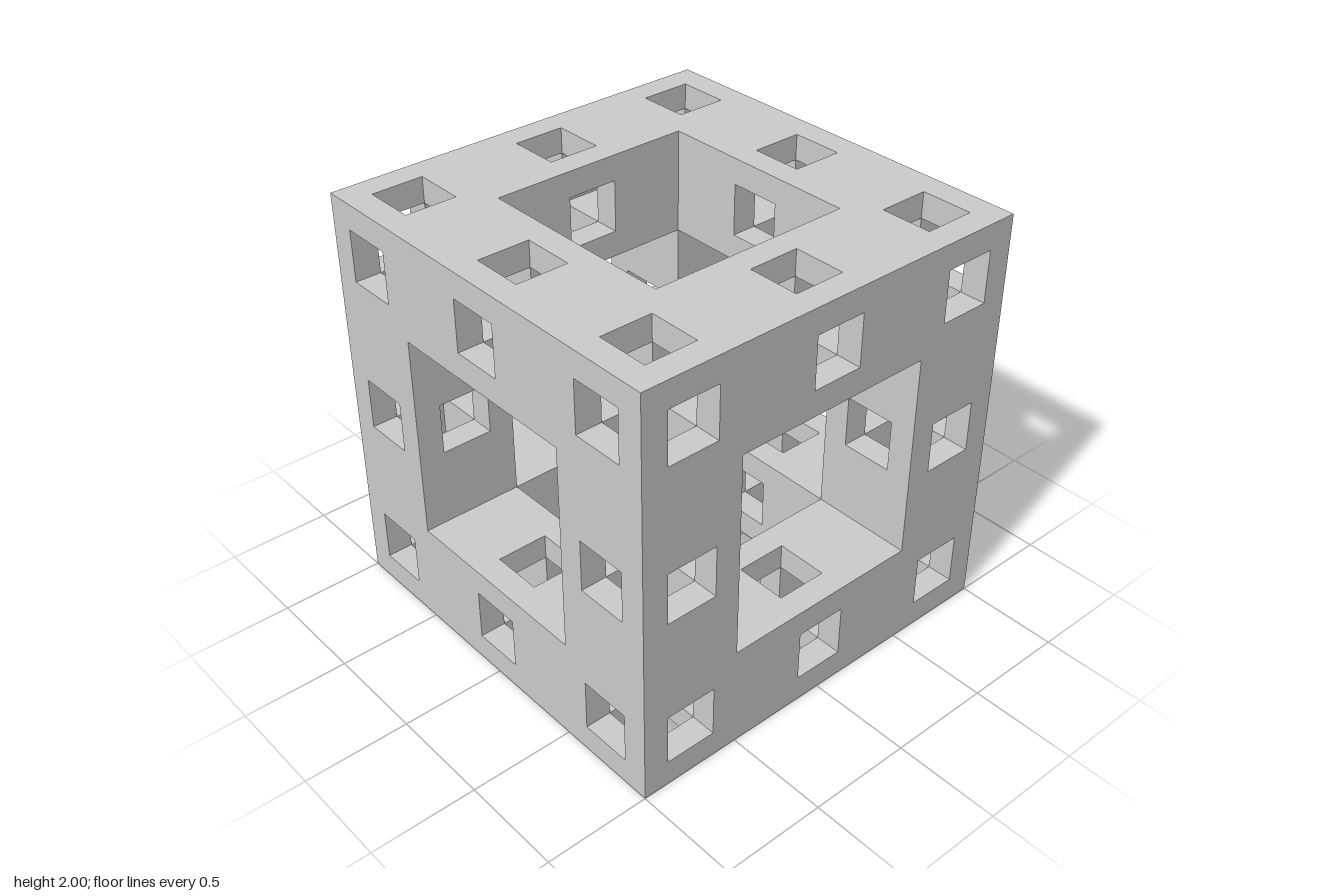
import * as THREE from 'three';
import { mergeGeometries } from 'three/addons/utils/BufferGeometryUtils.js';

const OUTER = 1;      // half size of the cube
const INNER = 0.5;    // half size of the large openings
const MID = 0.75;     // centre line of the frame bars
const HOLE = 0.25;    // width of the small square tunnels

// Small tunnels seen along one axis: four through the corners, four across the bars
const corners = [[-MID, -MID], [MID, -MID], [MID, MID], [-MID, MID]];
const middles = [[0, -MID], [MID, 0], [0, MID], [-MID, 0]];

function rect(path, x, y, w, h) {
  path.moveTo(x - w / 2, y - h / 2);
  path.lineTo(x + w / 2, y - h / 2);
  path.lineTo(x + w / 2, y + h / 2);
  path.lineTo(x - w / 2, y + h / 2);
  path.closePath();
  return path;
}

// Flat panel facing +z with square holes given as [x, y, size]
function panel(x, y, w, h, holes) {
  const shape = rect(new THREE.Shape(), x, y, w, h);
  for (const [hx, hy, s] of holes) shape.holes.push(rect(new THREE.Path(), hx, hy, s, s));
  return new THREE.ShapeGeometry(shape);
}

// Inward-facing square sleeve along z, broken where cross tunnels meet it
function tunnel(x, y, spans) {
  const walls = [];
  for (const [a, b] of spans) {
    for (let k = 0; k < 4; k++) {
      walls.push(new THREE.PlaneGeometry(HOLE, b - a)
        .rotateX(-Math.PI / 2)
        .translate(0, -HOLE / 2, (a + b) / 2)
        .rotateZ(k * Math.PI / 2));
    }
  }
  return mergeGeometries(walls).translate(x, y, 0);
}

export function createModel() {
  const model = new THREE.Group();
  model.name = 'perforatedCubeFrame';
  const material = new THREE.MeshStandardMaterial({ color: 0xcccccc, flatShading: true });

  // Outer face: one large opening and eight small ones
  const outerFace = panel(0, 0, 2 * OUTER, 2 * OUTER,
    [[0, 0, 2 * INNER], ...[...corners, ...middles].map(([x, y]) => [x, y, HOLE])])
    .translate(0, 0, OUTER);

  // Inner bar faces, looking at the centre of the cube
  const innerFaces = mergeGeometries(middles.map(([x, y]) =>
    panel(x, y, x ? 0.5 : 1, x ? 1 : 0.5, [[x, y, HOLE]]))).translate(0, 0, -INNER);

  // Tunnel walls between the crossings
  const near = MID - HOLE / 2, far = MID + HOLE / 2, h = HOLE / 2;
  const barSpans = [[-OUTER, -far], [-near, -h], [h, near], [far, OUTER]];
  const crossSpans = [[-OUTER, -far], [-near, -INNER], [INNER, near], [far, OUTER]];
  const tunnels = mergeGeometries([
    ...corners.map(([x, y]) => tunnel(x, y, barSpans)),
    ...middles.map(([x, y]) => tunnel(x, y, crossSpans)),
  ]);

  // The same set of surfaces repeats along each of the three axes
  const axes = { depth: [0, 0], width: [0, Math.PI / 2], height: [Math.PI / 2, 0] };
  for (const [name, [rx, ry]] of Object.entries(axes)) {
    const axis = new THREE.Group();
    axis.name = name + 'Axis';
    axis.rotation.set(rx, ry, 0);
    axis.position.y = OUTER;

    const add = (part, geometry, turn = 0) => {
      const mesh = new THREE.Mesh(geometry, material);
      mesh.name = part;
      mesh.rotation.y = turn;
      axis.add(mesh);
    };
    for (const turn of [0, Math.PI]) {
      add('outerFace', outerFace, turn);
      add('innerBarFaces', innerFaces, turn);
    }
    add('tunnelWalls', tunnels);
    model.add(axis);
  }
  return model;
}
